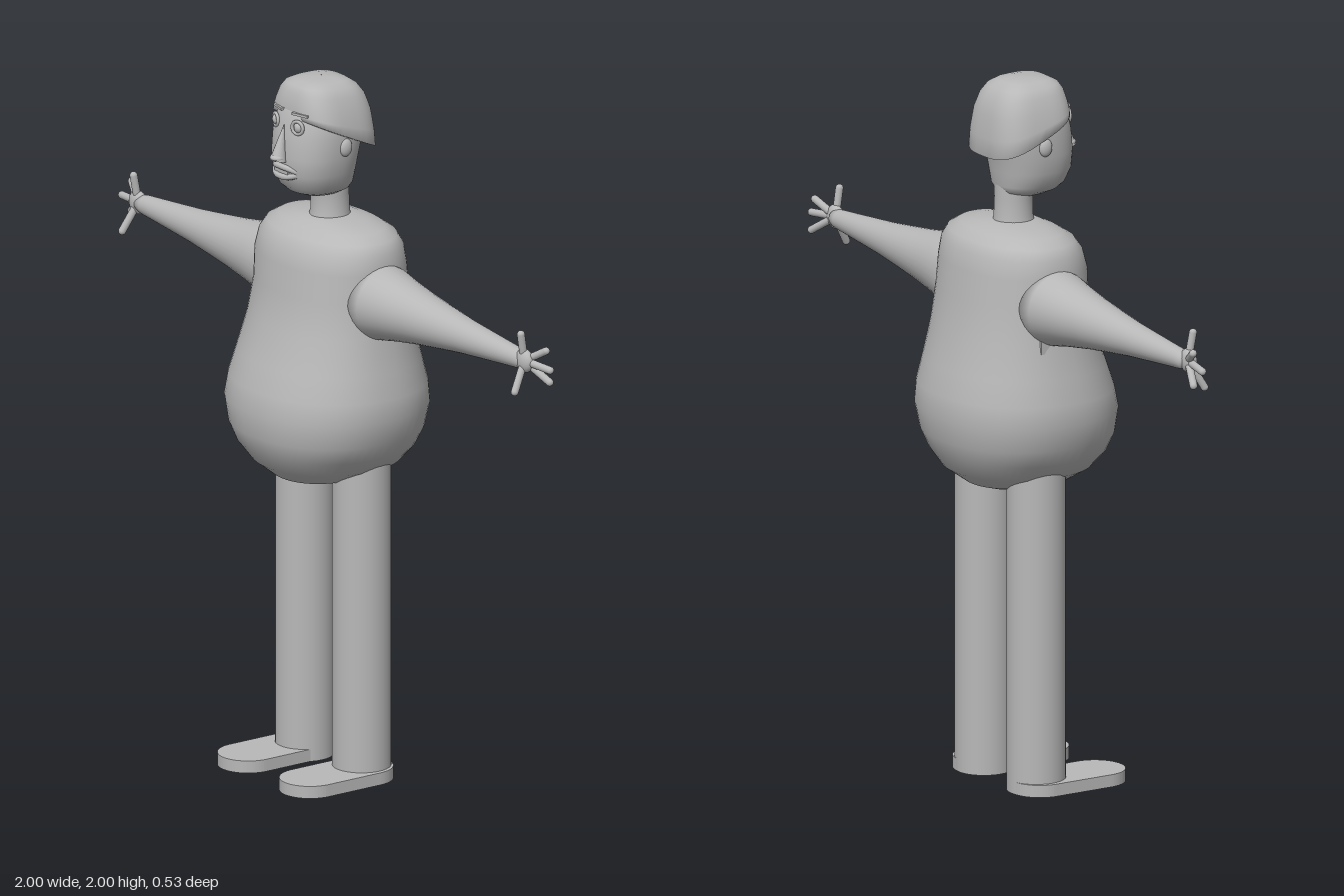
import * as THREE from 'three';

const gray = new THREE.MeshStandardMaterial({ color: 0xb8b8b8 });
gray.name = 'plain gray';

// Closed skin through horizontal rings, bottom to top: [y, halfWidth, zFront, zBack, tilt]
function loft(rings, power = 2, n = 48) {
  const pos = [], idx = [];
  const bend = v => Math.sign(v) * Math.abs(v) ** (2 / power);
  for (const [y, hw, zf, zb, tilt = 0] of rings) {
    for (let i = 0; i < n; i++) {
      const a = (i / n) * Math.PI * 2;
      const z = (zf + zb) / 2 + ((zf - zb) / 2) * bend(Math.sin(a));
      pos.push(hw * bend(Math.cos(a)), y + tilt * z, z);
    }
  }
  for (let j = 0; j < rings.length - 1; j++) {
    for (let i = 0; i < n; i++) {
      const a = j * n + i, b = j * n + ((i + 1) % n);
      idx.push(a, a + n, b, b, a + n, b + n);
    }
  }
  const g = new THREE.BufferGeometry();
  g.setAttribute('position', new THREE.Float32BufferAttribute(pos, 3));
  g.setIndex(idx);
  g.computeVertexNormals();
  return g;
}

// Flat sole outline rounded at toe and heel
function footGeometry() {
  const r = 0.085, s = new THREE.Shape();
  s.absarc(0, 0.165 - r + 0.085, r, Math.PI, 0, true);
  s.absarc(0, -0.015, r, 0, -Math.PI, true);
  const g = new THREE.ExtrudeGeometry(s, { depth: 0.035, bevelEnabled: false, curveSegments: 16 });
  // shape y becomes +z, extrusion runs downward from the top
  return g.rotateX(Math.PI / 2).translate(0, 0.035, 0);
}

export function createModel() {
  const model = new THREE.Group();
  model.name = 'figure';
  const add = (name, geo, x = 0, y = 0, z = 0) => {
    const m = new THREE.Mesh(geo, gray);
    m.name = name;
    m.position.set(x, y, z);
    model.add(m);
    return m;
  };
  const ball = (name, x, y, z, sx, sy, sz) =>
    add(name, new THREE.SphereGeometry(1, 20, 14), x, y, z).scale.set(sx, sy, sz);

  // Pear-shaped torso
  add('torso', loft([
    [0.837, 0.001, 0.001, -0.001], [0.842, 0.07, 0.1, -0.09], [0.86, 0.13, 0.155, -0.145],
    [0.9, 0.2, 0.205, -0.2], [0.95, 0.25, 0.24, -0.232], [1.0, 0.277, 0.258, -0.252],
    [1.07, 0.294, 0.265, -0.264], [1.13, 0.289, 0.252, -0.258], [1.2, 0.273, 0.228, -0.24],
    [1.3, 0.255, 0.192, -0.215], [1.4, 0.245, 0.17, -0.198], [1.48, 0.245, 0.165, -0.188],
    [1.53, 0.238, 0.15, -0.178], [1.56, 0.22, 0.128, -0.16], [1.58, 0.185, 0.095, -0.13],
    [1.593, 0.12, 0.065, -0.095], [1.6, 0.05, 0.04, -0.06], [1.601, 0.001, -0.009, -0.011]], 2.2, 56));

  // Neck and head
  add('neck', loft([[1.575, 0.062, 0.055, -0.07], [1.61, 0.054, 0.045, -0.064],
    [1.66, 0.053, 0.045, -0.062], [1.75, 0.058, 0.055, -0.062]]));
  add('head', loft([
    [1.667, 0.001, 0.061, 0.059], [1.669, 0.05, 0.085, -0.035], [1.682, 0.075, 0.118, -0.055],
    [1.7, 0.092, 0.138, -0.062], [1.74, 0.108, 0.155, -0.066], [1.79, 0.115, 0.158, -0.075],
    [1.85, 0.118, 0.152, -0.09], [1.91, 0.113, 0.138, -0.085], [1.95, 0.09, 0.11, -0.06],
    [1.965, 0.001, 0.021, 0.019]], 2.3));

  // Cap of hair with its rim sloping down to the back
  const hair = [
    [1.84, 0.001, 0.011, 0.009, 0.46], [1.84, 0.118, 0.118, -0.1, 0.46], [1.842, 0.133, 0.132, -0.112, 0.46],
    [1.875, 0.13, 0.132, -0.109, 0.3], [1.92, 0.118, 0.129, -0.102, 0.14], [1.957, 0.104, 0.121, -0.087, 0.08],
    [1.98, 0.088, 0.109, -0.068, 0.05], [1.993, 0.065, 0.09, -0.045, 0.02], [1.999, 0.035, 0.06, -0.015],
    [2.0, 0.001, 0.021, 0.019]];
  add('hair', loft(hair, 3));

  // Nose wedge
  const nose = new THREE.ConeGeometry(0.024, 0.105, 16);
  add('nose', nose, 0, 1.832, 0.158).rotation.x = -0.2;
  ball('noseTip', 0, 1.79, 0.17, 0.022, 0.012, 0.022);

  // Lips around a half-open mouth
  const lip = (name, y, rise) => add(name, new THREE.TubeGeometry(new THREE.CatmullRomCurve3([
    new THREE.Vector3(-0.05, y - rise, 0.14), new THREE.Vector3(-0.022, y, 0.157),
    new THREE.Vector3(0.022, y, 0.157), new THREE.Vector3(0.05, y - rise, 0.14)]), 20, 0.009, 8));
  lip('upperLip', 1.762, 0.008);
  lip('lowerLip', 1.736, -0.008);
  add('teeth', new THREE.BoxGeometry(0.06, 0.016, 0.01), 0, 1.749, 0.154);

  for (const s of [-1, 1]) {
    const side = s > 0 ? 'left' : 'right';

    // Eye, lid ring, brow and ear
    ball(side + 'Eye', s * 0.05, 1.882, 0.132, 0.016, 0.017, 0.016);
    add(side + 'EyeLid', new THREE.TorusGeometry(0.018, 0.005, 8, 24), s * 0.05, 1.882, 0.139).rotation.y = s * 0.3;
    add(side + 'Brow', new THREE.BoxGeometry(0.055, 0.007, 0.012), s * 0.05, 1.917, 0.128).rotation.y = s * 0.25;
    ball(side + 'Ear', s * 0.115, 1.82, 0.022, 0.013, 0.026, 0.02);

    // Leg and foot
    add(side + 'Leg', new THREE.CylinderGeometry(0.082, 0.082, 1.0, 32), s * 0.132, 0.5, -0.02);
    add(side + 'Foot', footGeometry(), s * 0.143, 0, 0);

    // Tapering arm, with a stub of sleeve beneath the shoulder
    const profile = [[0, 0.19], [0.107, 0.19], [0.104, 0.25], [0.09, 0.32], [0.074, 0.42], [0.061, 0.52],
      [0.049, 0.62], [0.04, 0.72], [0.033, 0.8], [0.028, 0.86], [0.024, 0.885], [0, 0.9]]
      .map(p => new THREE.Vector2(...p));
    add(side + 'Arm', new THREE.LatheGeometry(profile, 32), 0, 1.396, -0.018).rotation.z = -s * Math.PI / 2;
    add(side + 'Sleeve', new THREE.BoxGeometry(0.04, 0.04, 0.08), s * 0.232, 1.295, -0.04);

    // Palm and spread fingers
    ball(side + 'Palm', s * 0.893, 1.397, -0.014, 0.034, 0.034, 0.02);
    const tips = [[0.895, 1.476, 0.0], [0.957, 1.436, -0.04], [0.989, 1.39, -0.03],
      [0.967, 1.347, -0.045], [0.907, 1.318, 0.03]];
    const palm = new THREE.Vector3(s * 0.892, 1.397, -0.014);
    tips.forEach(([x, y, z], i) => {
      const dir = new THREE.Vector3(s * x, y, z).sub(palm), len = dir.length();
      const finger = add(side + 'Finger' + (i + 1), new THREE.CapsuleGeometry(0.011, len, 6, 12));
      finger.position.copy(palm).addScaledVector(dir, 0.5);
      finger.quaternion.setFromUnitVectors(new THREE.Vector3(0, 1, 0), dir.normalize());
    });
  }
  return model;
}
